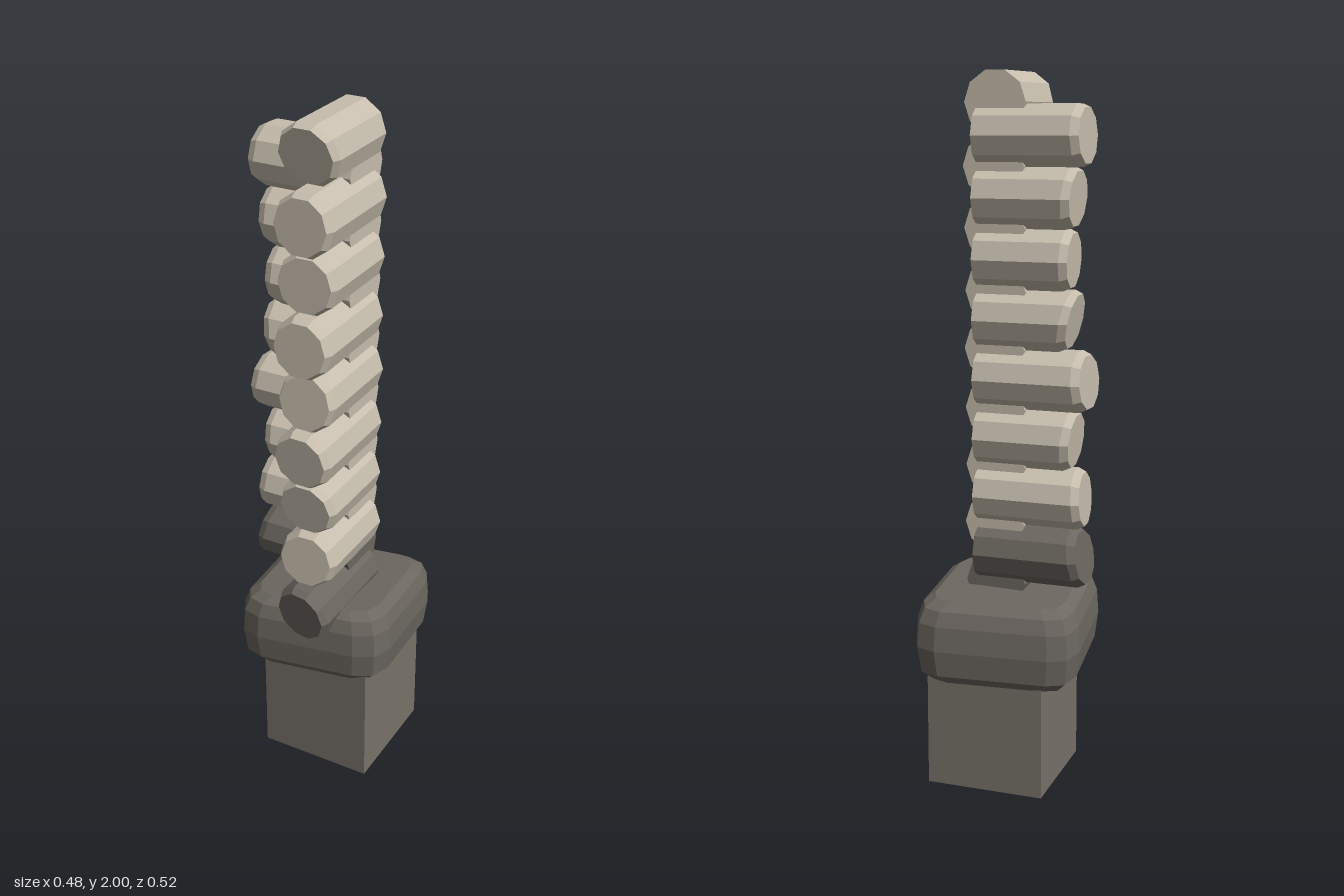
import * as THREE from 'three';

const flat = (geo) => {
  const g = geo.index ? geo.toNonIndexed() : geo;
  g.computeVertexNormals();
  return g;
};

// Ten-sided log along +z with a chamfered, slanted cut at its outer end
function logGeometry(length, slantUp, slantSide, radius = 0.087) {
  const g = new THREE.CylinderGeometry(radius, radius, length, 10, 2, false, Math.PI / 10);
  g.translate(0, length / 2, 0);
  const p = g.attributes.position;
  for (let i = 0; i < p.count; i++) {
    let x = p.getX(i), y = p.getY(i), z = p.getZ(i);
    if (y < 0.001) continue;
    const tip = y > length - 0.001;
    if (tip) { x *= 0.88; z *= 0.88; }
    y = (tip ? length : length - 0.022) - z * slantUp + x * slantSide;
    p.setXYZ(i, x, y, z);
  }
  g.rotateX(Math.PI / 2);
  return flat(g);
}

// Rounded, tilted block lofted through scaled copies of one outline
function capstoneGeometry() {
  const outline = [
    [-0.24, -0.12], [-0.225, -0.19], [-0.175, -0.215], [0.14, -0.26],
    [0.195, -0.245], [0.22, -0.19], [0.24, 0.1], [0.22, 0.16],
    [0.165, 0.19], [-0.125, 0.235], [-0.18, 0.22], [-0.21, 0.17],
  ];
  const rings = [[0.335, 0.84], [0.365, 0.96], [0.44, 1], [0.51, 0.98], [0.55, 0.92], [0.57, 0.8]];
  const n = outline.length, pos = [], idx = [];
  const lift = (x, z) => 0.07 * z + 0.03 * x;
  for (const [y, s] of rings)
    for (const [x, z] of outline) pos.push(x * s, y + lift(x * s, z * s), z * s);
  for (let r = 0; r < rings.length - 1; r++)
    for (let i = 0; i < n; i++) {
      const a0 = r * n + i, a1 = r * n + (i + 1) % n;
      idx.push(a0, a0 + n, a1, a1, a0 + n, a1 + n);
    }
  const bottom = pos.length / 3, top = bottom + 1, last = (rings.length - 1) * n;
  pos.push(0, 0.335, 0, 0, 0.574, 0);
  for (let i = 0; i < n; i++) {
    const j = (i + 1) % n;
    idx.push(bottom, i, j, top, last + j, last + i);
  }
  const g = new THREE.BufferGeometry();
  g.setAttribute('position', new THREE.Float32BufferAttribute(pos, 3));
  g.setIndex(idx);
  return flat(g);
}

export function createModel() {
  const model = new THREE.Group();
  model.name = 'cornerPost';
  const paleWood = new THREE.MeshStandardMaterial({ color: 0xc6bdad });
  paleWood.name = 'paleWood';
  const darkStone = new THREE.MeshStandardMaterial({ color: 0x6c6760 });
  darkStone.name = 'darkStone';
  const footStone = new THREE.MeshStandardMaterial({ color: 0x78736a });
  footStone.name = 'footStone';

  const add = (name, geo, mat, x, y, z) => {
    const m = new THREE.Mesh(geo, mat);
    m.name = name;
    m.position.set(x, y, z);
    model.add(m);
    return m;
  };

  // Square foot and the rounded stone on it
  add('foot', new THREE.BoxGeometry(0.34, 0.4, 0.34), footStone, 0.02, 0.2, -0.015);
  add('capstone', capstoneGeometry(), darkStone, 0, 0, 0);

  // Logs pointing forward: centre x, y, end z, slant up, slant sideways
  const frontLogs = [
    [0.025, 1.915, 0.187, 0.22, 0],
    [0.03, 1.747, 0.227, -0.05, 0.03],
    [0.027, 1.582, 0.203, -0.02, -0.03],
    [0.025, 1.412, 0.230, -0.06, 0.02],
    [0.028, 1.252, 0.212, -0.12, 0.03],
    [0.026, 1.085, 0.237, 0.08, 0.03],
    [0.025, 0.922, 0.208, 0.14, 0],
    [0.028, 0.757, 0.215, -0.06, -0.04],
    [0.025, 0.585, 0.243, 0.12, 0.15],
  ];
  frontLogs.forEach(([x, y, end, up, side], i) => {
    const mat = i === frontLogs.length - 1 ? darkStone : paleWood;
    add('frontLog' + (i + 1), logGeometry(end + 0.07, up, side), mat, x, y, -0.07);
  });

  // Logs pointing sideways, set half a step lower: centre y, end x, slants
  const sideLogs = [
    [1.828, -0.222, -0.02, 0.05],
    [1.663, -0.196, 0.08, 0.03],
    [1.498, -0.186, 0.04, -0.03],
    [1.333, -0.190, 0.2, 0],
    [1.168, -0.232, -0.05, 0.08],
    [1.002, -0.196, 0.1, 0],
    [0.838, -0.224, -0.05, -0.05],
    [0.67, -0.224, -0.15, 0.05],
  ];
  sideLogs.forEach(([y, end, up, side], i) => {
    const mat = i === sideLogs.length - 1 ? darkStone : paleWood;
    const log = add('sideLog' + (i + 1), logGeometry(0.08 - end, up, side), mat, 0.08, y, -0.026);
    log.rotation.y = -Math.PI / 2;
  });

  return model;
}
